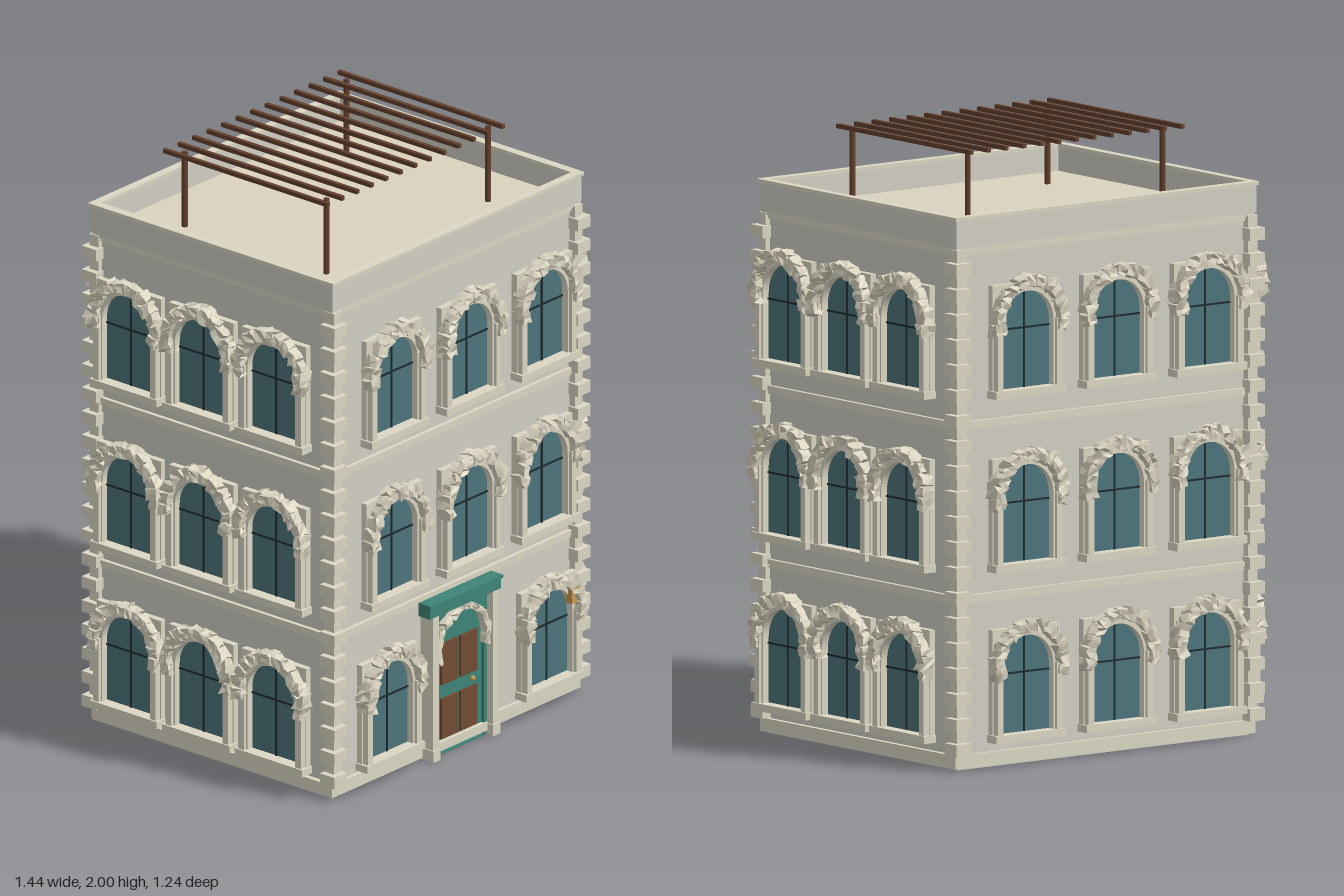
import * as THREE from 'three';

const mat = (color, extra = {}) => new THREE.MeshStandardMaterial({ color, ...extra });
const M = {
  wall: mat(0xd2cfc4), trim: mat(0xdcd7c4), stone: mat(0xd9d3bf, { flatShading: true }),
  roof: mat(0xd9d3bd), glass: mat(0x4c747b), bar: mat(0x1e2b2d), teal: mat(0x3f8478),
  wood: mat(0x734b33), post: mat(0x63402c), lamp: mat(0xc79a55),
};
const ZC = -0.006; // depth centre of the walls

// seeded random numbers
function seeded(seed) {
  return () => {
    seed = (seed * 16807) % 2147483647;
    return seed / 2147483647;
  };
}

function add(parent, name, geometry, material, x = 0, y = 0, z = 0) {
  const mesh = new THREE.Mesh(geometry, material);
  mesh.name = name;
  mesh.position.set(x, y, z);
  parent.add(mesh);
  return mesh;
}

// box given by its limits
function box(parent, name, material, x0, x1, y0, y1, z0, z1) {
  return add(parent, name, new THREE.BoxGeometry(x1 - x0, y1 - y0, z1 - z0), material,
    (x0 + x1) / 2, (y0 + y1) / 2, (z0 + z1) / 2);
}

// block centred on the building axis
const slab = (parent, name, material, hx, hz, y0, y1) =>
  box(parent, name, material, -hx, hx, y0, y1, ZC - hz, ZC + hz);

function rect(target, hx, y0, y1) {
  target.moveTo(-hx, y0);
  target.lineTo(hx, y0);
  target.lineTo(hx, y1);
  target.lineTo(-hx, y1);
  target.closePath();
  return target;
}

function archPath(target, r, y0, spring) {
  target.moveTo(-r, y0);
  target.lineTo(r, y0);
  target.lineTo(r, spring);
  target.absarc(0, spring, r, 0, Math.PI, false);
  target.closePath();
  return target;
}

const extrude = (shape, depth) =>
  new THREE.ExtrudeGeometry(shape, { depth, bevelEnabled: false, curveSegments: 16 });

// rough stone: a box whose shared corners are pushed about
function rock(w, h, d, rnd) {
  const g = new THREE.BoxGeometry(w, h, d, 2, 2, 2);
  const p = g.attributes.position, moved = new Map();
  for (let i = 0; i < p.count; i++) {
    const key = [p.getX(i), p.getY(i), p.getZ(i)].map((v) => v.toFixed(4)).join();
    if (!moved.has(key)) moved.set(key, [w, h, d].map((s) => (rnd() - 0.5) * s * 0.32));
    const [a, b, c] = moved.get(key);
    p.setXYZ(i, p.getX(i) + a, p.getY(i) + b, p.getZ(i) + c);
  }
  g.computeVertexNormals();
  return g;
}

// ring of rough stones over an opening
function stoneArch(parent, radius, spring, count, size, z, seed) {
  const rnd = seeded(seed), arch = new THREE.Group();
  arch.name = 'stoneArch';
  for (let i = 0; i < count; i++) {
    const a = -0.16 + (i / (count - 1)) * (Math.PI + 0.32);
    const step = (Math.PI * radius / count) * 1.25;
    const g = rock(size * (0.85 + rnd() * 0.35), step, 0.04 + rnd() * 0.012, rnd);
    add(arch, 'archStone', g, M.stone, Math.cos(a) * radius, spring + Math.sin(a) * radius, z)
      .rotation.z = a + (rnd() - 0.5) * 0.25;
  }
  parent.add(arch);
}

const SPRING = 0.215;
const glassGeo = extrude(archPath(new THREE.Shape(), 0.108, 0, SPRING), 0.008);
const panelShape = rect(new THREE.Shape(), 0.138, -0.01, 0.345);
panelShape.holes.push(archPath(new THREE.Path(), 0.105, 0, SPRING));
const panelGeo = extrude(panelShape, 0.022);
const bandShape = archPath(new THREE.Shape(), 0.12, -0.005, SPRING);
bandShape.holes.push(archPath(new THREE.Path(), 0.104, 0, SPRING));
const bandGeo = extrude(bandShape, 0.026);

// window facing +z, opening bottom at y = 0, back at z = 0
function makeWindow(seed) {
  const w = new THREE.Group();
  w.name = 'window';
  add(w, 'glass', glassGeo, M.glass);
  add(w, 'framePanel', panelGeo, M.trim);
  add(w, 'frameMoulding', bandGeo, M.trim, 0, 0, 0.006);
  box(w, 'verticalBar', M.bar, -0.003, 0.003, 0, 0.318, 0.007, 0.012);
  box(w, 'crossBar', M.bar, -0.105, 0.105, 0.193, 0.199, 0.007, 0.012);
  for (const s of [-1, 1]) add(w, 'jamb', new THREE.BoxGeometry(0.024, 0.23, 0.034), M.trim, s * 0.122, 0.105, 0.027);
  box(w, 'sill', M.trim, -0.144, 0.144, -0.025, 0, 0, 0.05);
  stoneArch(w, 0.131, SPRING + 0.007, 13, 0.036, 0.036, seed);
  return w;
}

function makeDoor() {
  const d = new THREE.Group();
  d.name = 'entrance';
  const leaf = archPath(new THREE.Shape(), 0.12, 0.01, 0.37);
  add(d, 'door', extrude(leaf, 0.025), M.teal, 0, 0, 0.49);
  const surround = rect(new THREE.Shape(), 0.135, 0, 0.51);
  surround.holes.push(archPath(new THREE.Path(), 0.118, 0.005, 0.37));
  add(d, 'doorSurround', extrude(surround, 0.03), M.teal, 0, 0, 0.495);
  for (const s of [-1, 1]) {
    for (const [y0, y1] of [[0.05, 0.19], [0.24, 0.385]])
      add(d, 'doorPanel', new THREE.BoxGeometry(0.082, y1 - y0, 0.01), M.wood, s * 0.047, (y0 + y1) / 2, 0.518);
    add(d, 'doorPilaster', new THREE.BoxGeometry(0.028, 0.505, 0.055), M.trim, s * 0.148, 0.2525, 0.522);
    add(d, 'pilasterFoot', new THREE.BoxGeometry(0.036, 0.04, 0.06), M.trim, s * 0.148, 0.02, 0.524);
  }
  add(d, 'doorKnob', new THREE.SphereGeometry(0.009, 10, 8), M.lamp, 0.066, 0.217, 0.522);
  box(d, 'doorStep', M.trim, -0.13, 0.13, 0.015, 0.045, 0.49, 0.53);
  box(d, 'signBoard', M.teal, -0.177, 0.177, 0.505, 0.55, 0.5, 0.548);
  box(d, 'signCap', M.teal, -0.18, 0.18, 0.543, 0.553, 0.5, 0.556);
  stoneArch(d, 0.122, 0.37, 11, 0.022, 0.52, 91);
  return d;
}

export function createModel() {
  const model = new THREE.Group();
  model.name = 'building';

  // walls, plinth and ledges
  slab(model, 'walls', M.wall, 0.6, 0.5, 0, 1.72);
  slab(model, 'plinth', M.trim, 0.618, 0.514, 0.006, 0.05);
  for (const y of [0.545, 1.115, 1.69]) {
    slab(model, 'ledge', M.trim, 0.608, 0.508, y, y + 0.012);
    slab(model, 'ledgeTop', M.trim, 0.614, 0.514, y + 0.012, y + 0.028);
  }

  // roof and parapet
  slab(model, 'roof', M.roof, 0.605, 0.505, 1.715, 1.727);
  const ring = (hx, hz, t, h) => {
    const s = rect(new THREE.Shape(), hx, -hz, hz);
    s.holes.push(rect(new THREE.Path(), hx - t, t - hz, hz - t));
    return extrude(s, h).rotateX(-Math.PI / 2);
  };
  add(model, 'parapet', ring(0.618, 0.518, 0.02, 0.095), M.wall, 0, 1.715, ZC);
  add(model, 'parapetCap', ring(0.624, 0.524, 0.03, 0.012), M.trim, 0, 1.806, ZC);

  // alternating corner stones
  const quoins = new THREE.Group();
  quoins.name = 'cornerStones';
  const step = 0.0415;
  for (let i = 0; i < 40; i++) {
    const wide = i % 2 === 0, w = wide ? 0.062 : 0.038, out = wide ? 0.036 : 0.018;
    for (const sx of [-1, 1]) for (const sz of [-1, 1])
      add(quoins, 'cornerStone', new THREE.BoxGeometry(w, step * 0.97, w), M.trim,
        sx * (0.6 + out - w / 2), 0.05 + step * (i + 0.5), ZC + sz * (0.505 + out - w / 2));
  }
  model.add(quoins);

  // windows on all four sides; the entrance takes the middle of the ground floor
  let seed = 11;
  const place = (x, y, z, turn) => {
    const w = makeWindow(seed += 37);
    w.position.set(x, y, z);
    w.rotation.y = turn;
    model.add(w);
  };
  [0.115, 0.675, 1.245].forEach((y, floor) => {
    for (const k of [-1, 0, 1]) {
      if (floor > 0 || k !== 0) place(k * (floor ? 0.373 : 0.396), y, 0.543, 0);
      place(k * 0.373, y, -0.557, Math.PI);
      place(0.65, y, k * 0.311 - 0.004, Math.PI / 2);
      place(-0.65, y, k * 0.311 - 0.004, -Math.PI / 2);
    }
  });
  model.add(makeDoor());

  // wall lanterns
  for (const s of [-1, 1]) {
    const x = s * 0.492;
    box(model, 'lantern', M.lamp, x - 0.014, x + 0.014, 0.365, 0.415, 0.565, 0.593);
    box(model, 'lanternCap', M.lamp, x - 0.018, x + 0.018, 0.415, 0.422, 0.561, 0.597);
  }

  // roof pergola
  const pergola = new THREE.Group();
  pergola.name = 'pergola';
  for (const x of [-0.403, 0.4]) for (const z of [-0.306, 0.3])
    add(pergola, 'pergolaPost', new THREE.CylinderGeometry(0.01, 0.01, 0.27, 10), M.post, x, 1.855, z);
  for (let i = 0; i < 13; i++)
    add(pergola, 'pergolaSlat', new THREE.BoxGeometry(0.014, 0.014, 0.704), M.post, -0.445 + i * 0.0724, 1.993, -0.006);
  model.add(pergola);
  return model;
}
